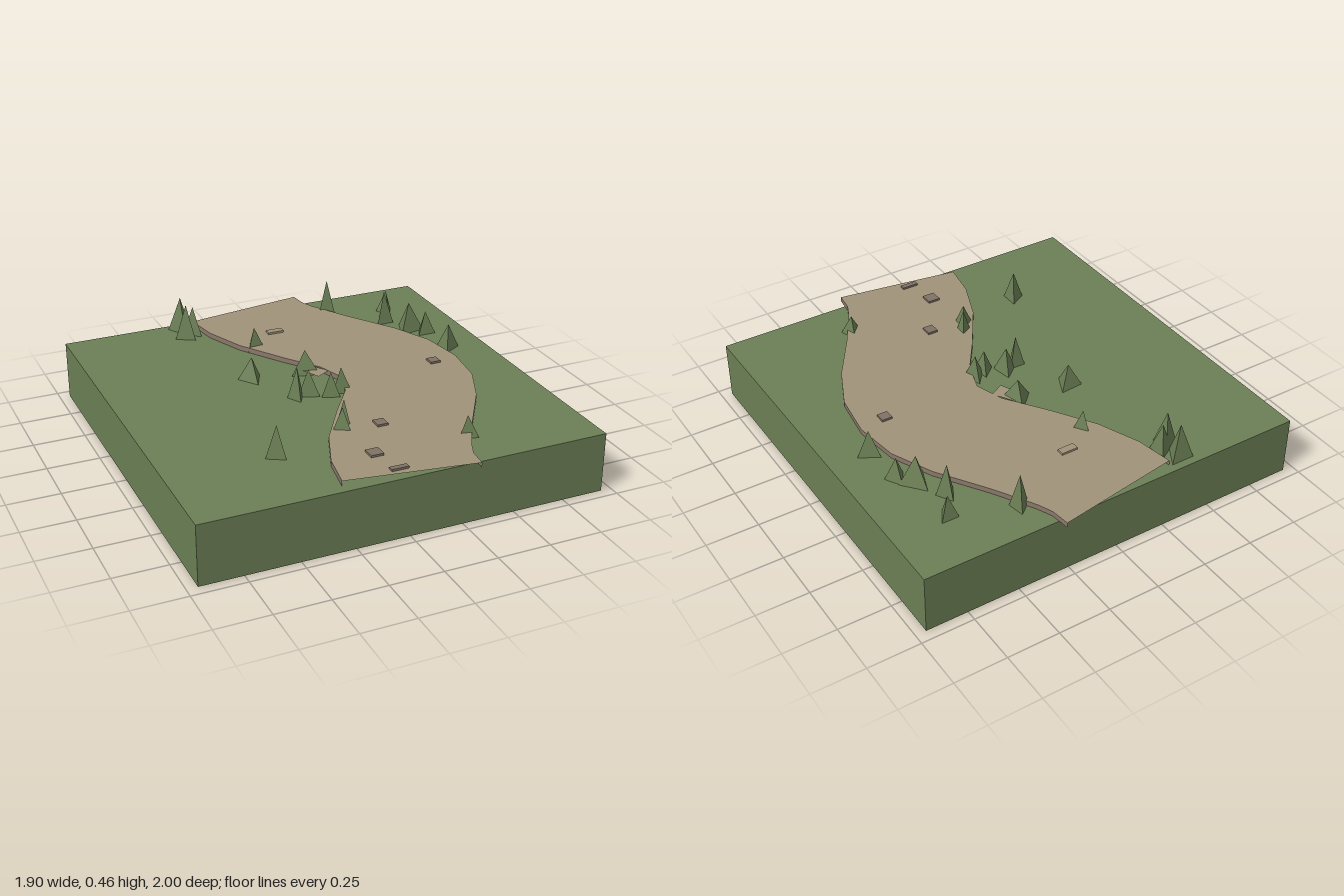
import * as THREE from 'three';

const mat = (name, color, side = THREE.FrontSide) =>
  new THREE.MeshStandardMaterial({ name, color, side, flatShading: true });

// Quad strip between two equally long rows of points
function strip(a, b) {
  const v = [];
  for (let i = 0; i < a.length - 1; i++) {
    v.push(...a[i], ...b[i], ...b[i + 1], ...a[i], ...b[i + 1], ...a[i + 1]);
  }
  const g = new THREE.BufferGeometry();
  g.setAttribute('position', new THREE.Float32BufferAttribute(v, 3));
  g.computeVertexNormals();
  return g;
}

export function createModel() {
  const model = new THREE.Group();
  model.name = 'roadTile';
  const grass = mat('grass', 0x6b7f55, THREE.DoubleSide);
  const foliage = mat('foliage', 0x6b7f55);
  const dirt = mat('dirt', 0xa0927a, THREE.DoubleSide);
  const edge = mat('roadEdge', 0x8a776a, THREE.DoubleSide);
  const stone = mat('stone', 0x7f7164);
  const add = (name, geo, material, parent = model) => {
    const m = new THREE.Mesh(geo, material);
    m.name = name;
    parent.add(m);
    return m;
  };
  const ground = 0.285, roadTop = 0.31;

  // Ground block, hollow and open underneath
  const box = new THREE.BoxGeometry(1.9, ground, 1.9).toNonIndexed();
  const open = new THREE.BufferGeometry();
  for (const key of ['position', 'normal']) {
    const a = Array.from(box.attributes[key].array);
    a.splice(18 * 3, 18); // drop the bottom face
    open.setAttribute(key, new THREE.Float32BufferAttribute(a, 3));
  }
  open.translate(0, ground / 2, 0);
  add('groundBlock', open, grass);

  // Winding road: half outlines as [x, z], mirrored in z
  const mirror = half => [...half.map(([x, z]) => [x, -z]).reverse(), ...half.slice(1)];
  const left = mirror([[0.115, 0], [0.07, 0.14], [-0.05, 0.31], [-0.19, 0.53], [-0.27, 0.73], [-0.3, 0.905]]);
  const right = mirror([[0.72, 0], [0.69, 0.22], [0.6, 0.42], [0.45, 0.65], [0.34, 0.84], [0.3, 1]]);
  // The last bend of the right side narrows just before the end
  right.splice(1, 0, [0.31, -0.91]);
  right.splice(right.length - 1, 0, [0.31, 0.91]);
  left.splice(1, 0, [-0.285, -0.82]);
  left.splice(left.length - 1, 0, [-0.285, 0.82]);
  const at = (row, y) => row.map(([x, z]) => [x, y, z]);
  add('roadSurface', strip(at(left, roadTop), at(right, roadTop)), dirt);
  add('roadLeftEdge', strip(at(left, ground), at(left, roadTop)), edge);
  add('roadRightEdge', strip(at(right, roadTop), at(right, ground)), edge);

  // Small worn patch on the inside of the bend
  const patch = [[-0.03, -0.16], [0.02, -0.05], [0.09, -0.09], [0.03, -0.19]];
  add('roadPatch', strip(at([patch[0], patch[3]], roadTop - 0.002), at([patch[1], patch[2]], roadTop - 0.002)), dirt);

  // Flat stones on the road: x, z, width, depth
  const stones = new THREE.Group();
  stones.name = 'stones';
  model.add(stones);
  [[0.03, -0.61, 0.08, 0.036, dirt], [0.59, 0.02, 0.05, 0.05], [0.07, 0.505, 0.05, 0.055],
    [-0.075, 0.745, 0.06, 0.06], [-0.04, 0.905, 0.08, 0.026]].forEach(([x, z, w, d, m]) => {
    add('stone', new THREE.BoxGeometry(w, 0.02, d), m || stone, stones).position.set(x, roadTop, z);
  });

  // Three-sided trees: x, z, top height, radius, turn in degrees
  const trees = new THREE.Group();
  trees.name = 'trees';
  model.add(trees);
  [
    [-0.37, -0.88, 0.46, 0.065, 0], [-0.33, -0.81, 0.43, 0.055, 30], [-0.375, -0.78, 0.46, 0.058, 30],
    [-0.12, -0.51, 0.4, 0.053, 65], [-0.26, -0.19, 0.4, 0.066, 5], [0, -0.165, 0.4, 0.078, 45],
    [-0.145, 0.08, 0.44, 0.045, 0], [-0.08, 0.06, 0.41, 0.06, 40], [0.01, 0.11, 0.4, 0.05, 40],
    [0.07, 0.09, 0.405, 0.055, 50], [-0.07, 0.425, 0.42, 0.042, 30], [-0.1, 0.475, 0.41, 0.055, 30],
    [-0.445, 0.56, 0.435, 0.053, 30], [0.385, 0.72, 0.385, 0.053, 48],
    [0.395, -0.79, 0.46, 0.048, 40], [0.68, -0.68, 0.4, 0.048, 0], [0.61, -0.56, 0.45, 0.05, 60],
    [0.68, -0.42, 0.43, 0.077, 70], [0.74, -0.355, 0.4, 0.053, 60], [0.755, -0.14, 0.41, 0.06, 90],
  ].forEach(([x, z, top, r, turn]) => {
    const h = top - ground;
    const t = add('tree', new THREE.ConeGeometry(r, h, 3), foliage, trees);
    t.position.set(x, ground + h / 2, z);
    t.rotation.y = THREE.MathUtils.degToRad(turn);
  });
  return model;
}
